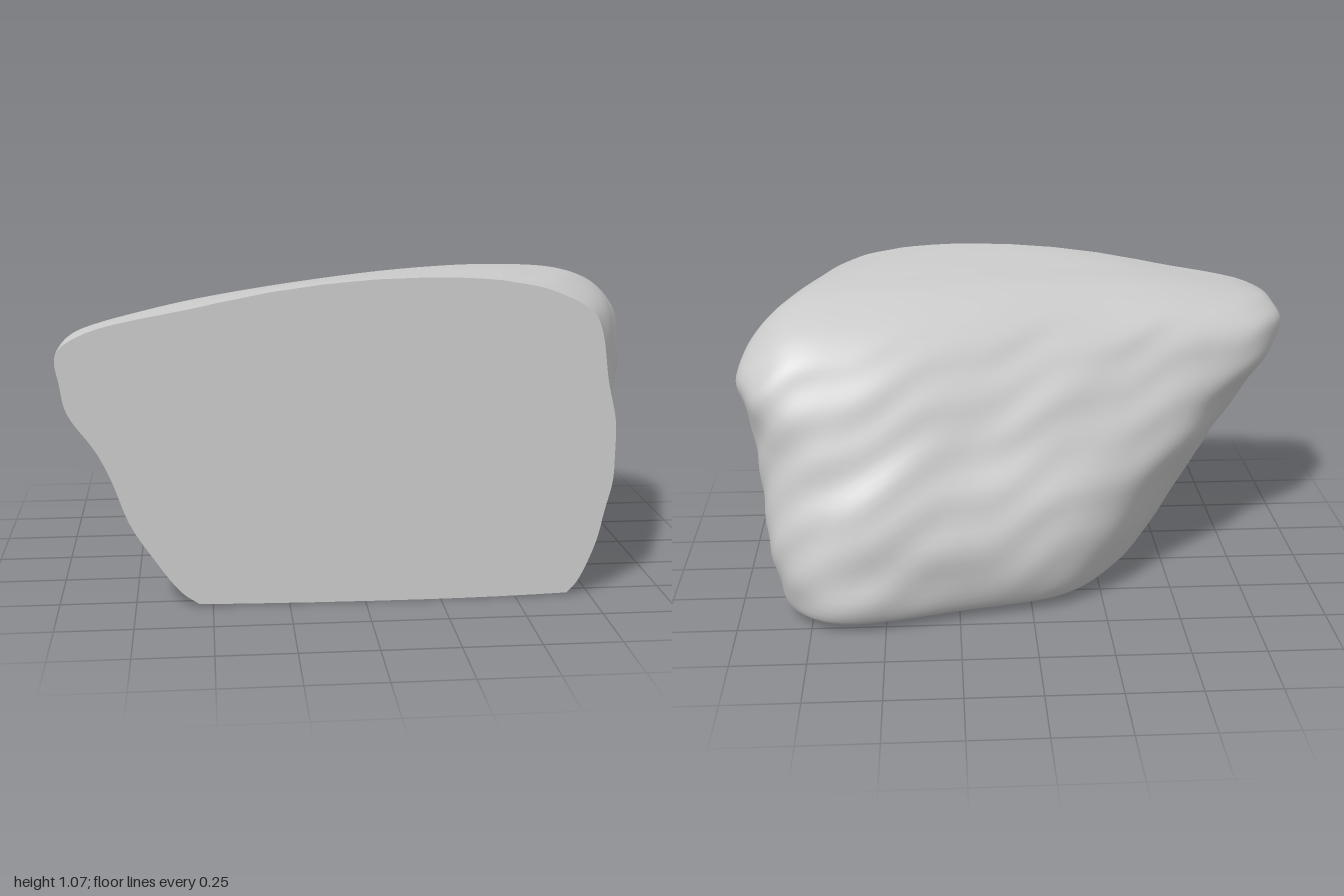
import * as THREE from 'three';

const FRONT = 0.56, CX = 0.2;

// Plan outlines by height: front left, round the back, to front right, as [x, z]
const RINGS = [
  [0.05, [[-.6, .56], [-.54, .4], [-.45, .15], [-.34, -.1], [-.13, -.36], [.22, -.47], [.68, -.55], [.83, -.41], [.82, -.16], [.78, .19], [.71, .56]]],
  [0.3, [[-.76, .56], [-.7, .4], [-.6, .14], [-.43, -.14], [-.2, -.38], [.2, -.5], [.68, -.54], [.87, -.42], [.91, -.15], [.87, .2], [.8, .56]]],
  [0.58, [[-.87, .56], [-.84, .37], [-.73, .13], [-.56, -.08], [-.22, -.25], [.17, -.38], [.62, -.46], [.87, -.37], [.94, -.15], [.89, .2], [.82, .56]]],
  [0.8, [[-.97, .56], [-.96, .37], [-.86, .15], [-.63, .03], [-.28, -.11], [.15, -.25], [.58, -.37], [.88, -.36], [.99, -.18], [.93, .15], [.78, .56]]],
  [0.95, [[-.98, .56], [-.98, .37], [-.88, .21], [-.63, .1], [-.28, .02], [.15, -.13], [.57, -.25], [.82, -.26], [.91, -.1], [.87, .18], [.75, .56]]],
  [1.03, [[-.92, .56], [-.91, .42], [-.79, .32], [-.56, .25], [-.25, .18], [.15, .05], [.5, -.05], [.72, -.05], [.78, .06], [.73, .25], [.6, .56]]],
];

// Shrink an outline towards the middle of the cut face
const shrink = (ring, s) => ring.map(([x, z]) => [CX + (x - CX) * s, FRONT + (z - FRONT) * s]);

// The top falls away towards both ends
const height = (x, v) => Math.max(0, v - 0.08 * (x - 0.35) ** 2 * v * v);

// Layered, weathered roughness
function rough(x, y, z) {
  const a = Math.sin(4 * x + 19 * y + 3 * z + 1.5 * Math.sin(6 * x - 5 * z));
  const b = Math.sin(13 * x - 9 * y + 11 * z + 2 * Math.sin(9 * y + 3 * x));
  const c = Math.sin(23 * z + 19 * x + 31 * y + Math.sin(14 * x));
  const fade = THREE.MathUtils.smoothstep(y, 0, 0.15) * (1 - THREE.MathUtils.smoothstep(y, 0.85, 1.03));
  return (0.003 * a + 0.004 * b + 0.003 * c) * fade;
}

function buildRows() {
  const rings = [
    [0.008, shrink(RINGS[0][1], 0.93)],
    ...RINGS,
    [1.06, shrink(RINGS[5][1], 0.6)],
  ];
  const columns = rings[0][1].map((_, i) => new THREE.CatmullRomCurve3(
    rings.map(([v, r]) => new THREE.Vector3(r[i][0], height(r[i][0], v), r[i][1]))));

  const rows = [], ROWS = 56, COLS = 90;
  for (let j = 0; j <= ROWS; j++) {
    const curve = new THREE.CatmullRomCurve3(columns.map(c => c.getPoint(j / ROWS)));
    const row = [];
    for (let i = 0; i <= COLS; i++) {
      const p = curve.getPoint(i / COLS);
      const s = 1 + rough(p.x, p.y, p.z);
      row.push(new THREE.Vector3(CX + (p.x - CX) * s, Math.max(0, p.y), Math.min(FRONT, FRONT + (p.z - FRONT) * s)));
    }
    row[0].z = row[COLS].z = FRONT;
    rows.push(row);
  }

  // Close the underside and the top by shrinking the end rows to the front edge
  const close = (row, s, y) => row.map(p => new THREE.Vector3(
    CX + (p.x - CX) * s, y + (p.y - y) * s * s, FRONT + (p.z - FRONT) * s));
  const low = rows[0], high = rows[rows.length - 1];
  for (const s of [0.75, 0.5, 0.25, 0]) {
    rows.unshift(close(low, s, 0));
    rows.push(close(high, s, 1.072));
  }
  return rows;
}

function skinGeometry(rows) {
  const n = rows[0].length, index = [];
  for (let j = 0; j < rows.length - 1; j++) {
    for (let i = 0; i < n - 1; i++) {
      const a = j * n + i, b = a + 1, c = a + n, d = c + 1;
      index.push(a, c, b, b, c, d);
    }
  }
  const geometry = new THREE.BufferGeometry().setFromPoints(rows.flat());
  geometry.setIndex(index);
  geometry.computeVertexNormals();
  return geometry;
}

export function createModel() {
  const group = new THREE.Group();
  group.name = 'cutBoulder';
  const material = new THREE.MeshStandardMaterial({ color: 0xcccccc });
  const rows = buildRows();

  // Weathered outside
  const skin = new THREE.Mesh(skinGeometry(rows), material);
  skin.name = 'rockSurface';

  // Flat cut front, bounded by the two ends of every row
  const right = rows.slice(0, -1).map(r => r[r.length - 1]);
  const left = rows.slice(1).map(r => r[0]).reverse();
  const outline = [...right, ...left].map(p => new THREE.Vector2(p.x, p.y));
  const face = new THREE.Mesh(new THREE.ShapeGeometry(new THREE.Shape(outline)), material);
  face.position.z = FRONT;
  face.name = 'cutFace';

  group.add(skin, face);
  return group;
}
